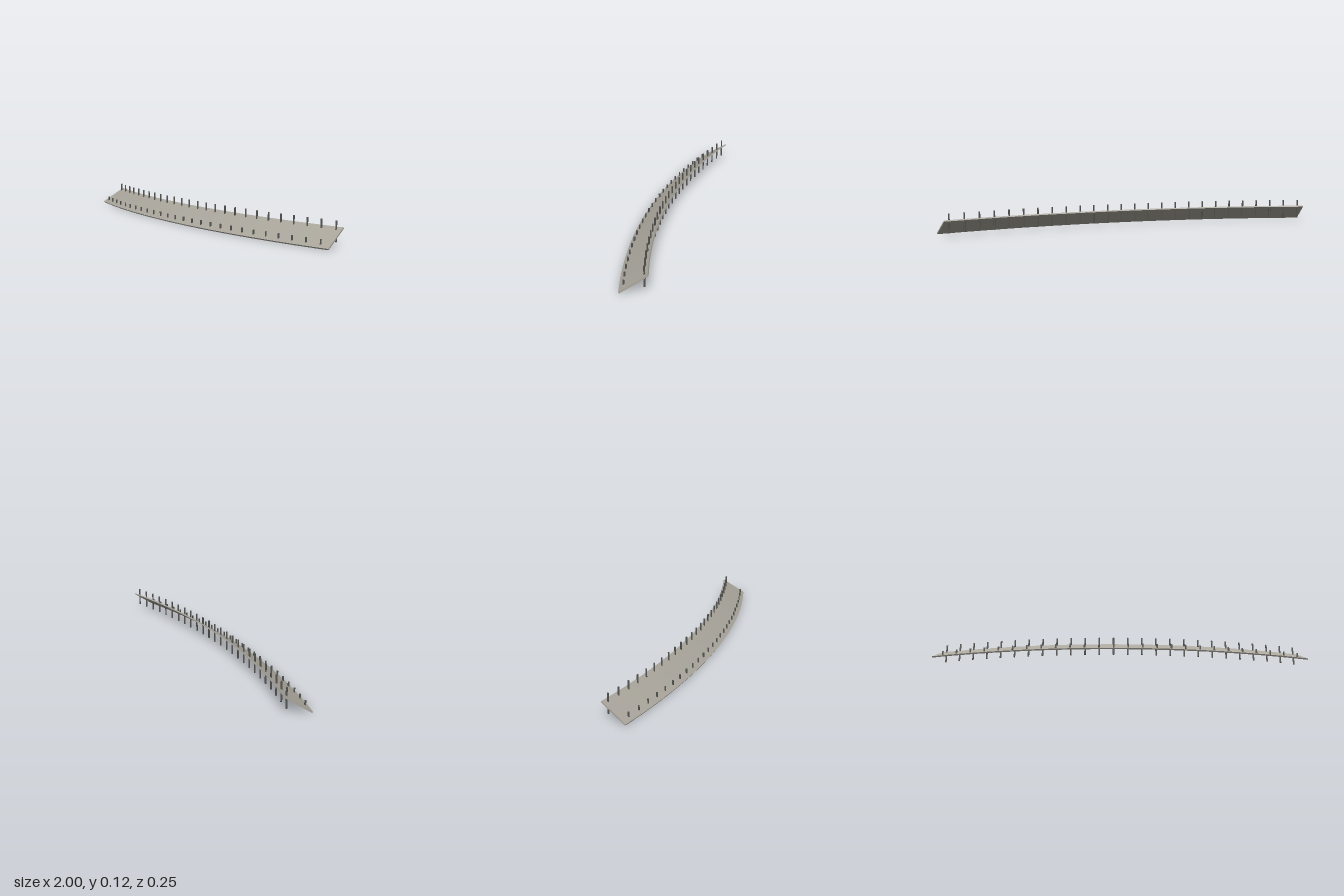
import * as THREE from 'three';

const CENTRE_Z = -4.105;   // centre of the plan curve
const HALF_ANGLE = 0.2389;
const PINS = 26;

// Curved plank sloping down to the front: a segmented box bent round the arc
function sweptDeck() {
  const geo = new THREE.BoxGeometry(1, 1, 1, 64, 1, 1);
  const p = geo.attributes.position;
  for (let i = 0; i < p.count; i++) {
    const a = p.getX(i) * 2 * HALF_ANGLE;
    const up = p.getY(i) + 0.5;
    const front = p.getZ(i) + 0.5;
    const r = 4.097 + 0.126 * front + 0.004 * up;
    const y = 0.08 * (1 - front) + 0.006 * up;
    p.setXYZ(i, r * Math.sin(a), y, CENTRE_Z + r * Math.cos(a));
  }
  geo.computeVertexNormals();
  return geo;
}

// Row of evenly spaced upright pins following the arc
function pinRow(name, radius, bottom, top, material) {
  const row = new THREE.Group();
  row.name = name;
  const geo = new THREE.CylinderGeometry(0.0043, 0.0043, top - bottom, 12);
  for (let i = 0; i < PINS; i++) {
    const x = -0.946 + (1.892 * i) / (PINS - 1);
    const pin = new THREE.Mesh(geo, material);
    pin.name = 'pin';
    pin.position.set(x, (top + bottom) / 2, CENTRE_Z + Math.sqrt(radius * radius - x * x));
    row.add(pin);
  }
  return row;
}

export function createModel() {
  const group = new THREE.Group();
  group.name = 'curvedDeckWithPins';

  const deck = new THREE.Mesh(sweptDeck(), new THREE.MeshStandardMaterial({ color: 0xaaa69c }));
  deck.name = 'deck';
  group.add(deck);

  const dark = new THREE.MeshStandardMaterial({ color: 0x555552 });
  group.add(pinRow('rearPins', 4.116, 0.018, 0.116, dark));
  group.add(pinRow('frontPins', 4.207, 0.017, 0.04, dark));
  return group;
}
